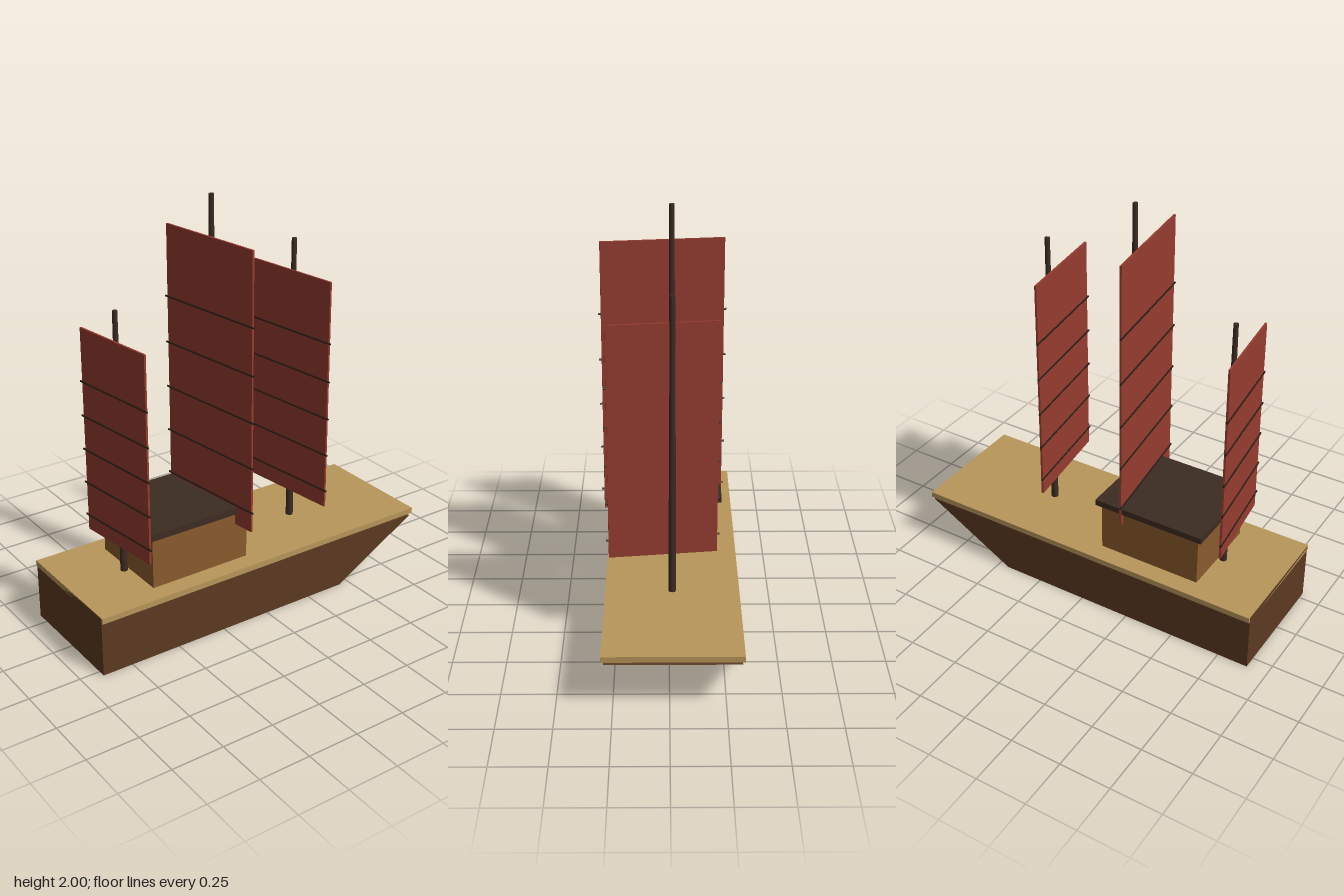
import * as THREE from 'three';

const mat = (name, color) => {
  const m = new THREE.MeshStandardMaterial({ color });
  m.name = name;
  return m;
};

export function createModel() {
  const hullWood = mat('hull brown', 0x5c3a21);
  const deckWood = mat('deck tan', 0xb8965a);
  const cabinWood = mat('cabin brown', 0x8a5a2c);
  const darkWood = mat('dark wood', 0x3d2c22);
  const battenWood = mat('batten black brown', 0x2a1c13);
  const cloth = mat('sail red', 0x963c30);

  const model = new THREE.Group();
  model.name = 'sailingBoat';
  const midZ = -0.014; // centreline of the hull

  const add = (parent, name, geometry, material, x, y, z) => {
    const mesh = new THREE.Mesh(geometry, material);
    mesh.name = name;
    mesh.position.set(x, y, z);
    parent.add(mesh);
    return mesh;
  };
  const box = (w, h, d) => new THREE.BoxGeometry(w, h, d);

  // Hull: side profile with a raked bow, extruded across the beam
  const profile = new THREE.Shape([
    new THREE.Vector2(-0.9, 0),
    new THREE.Vector2(0.445, 0),
    new THREE.Vector2(0.893, 0.252),
    new THREE.Vector2(-0.9, 0.292),
  ]);
  const hull = new THREE.ExtrudeGeometry(profile, { depth: 0.6, bevelEnabled: false });
  add(model, 'hull', hull, hullWood, 0, 0, midZ - 0.3);

  // Deck, cabin and overhanging roof
  add(model, 'deck', box(1.8, 0.028, 0.62), deckWood, 0, 0.282, midZ);
  add(model, 'cabin', box(0.515, 0.26, 0.435), cabinWood, -0.323, 0.42, midZ);
  add(model, 'cabinRoof', box(0.562, 0.03, 0.477), darkWood, -0.325, 0.56, midZ - 0.002);

  // Masts, each with a slightly turned sail and five battens on its aft face
  const rigs = [
    { name: 'aft', x: -0.605, top: 1.565, low: 0.455, high: 1.45, width: 0.45, first: 0.53, step: 0.166 },
    { name: 'main', x: -0.104, top: 2.0, low: 0.485, high: 1.825, width: 0.572, first: 0.585, step: 0.224 },
    { name: 'fore', x: 0.356, top: 1.725, low: 0.465, high: 1.59, width: 0.5, first: 0.55, step: 0.187 },
  ];
  for (const r of rigs) {
    const height = r.top - 0.29;
    add(model, r.name + 'Mast', new THREE.CylinderGeometry(0.012, 0.018, height, 8),
      darkWood, r.x, 0.29 + height / 2, midZ);

    const rig = new THREE.Group();
    rig.name = r.name + 'SailGroup';
    rig.position.set(r.x - 0.043, 0, 0.028);
    rig.rotation.y = 0.12;
    model.add(rig);
    add(rig, r.name + 'Sail', box(0.01, r.high - r.low, r.width), cloth, 0, (r.low + r.high) / 2, 0);
    for (let i = 0; i < 5; i++) {
      const batten = add(rig, r.name + 'Batten', new THREE.CylinderGeometry(0.005, 0.005, r.width + 0.024, 6),
        battenWood, -0.005, r.first + i * r.step, 0);
      batten.rotation.x = Math.PI / 2;
    }
  }
  return model;
}
